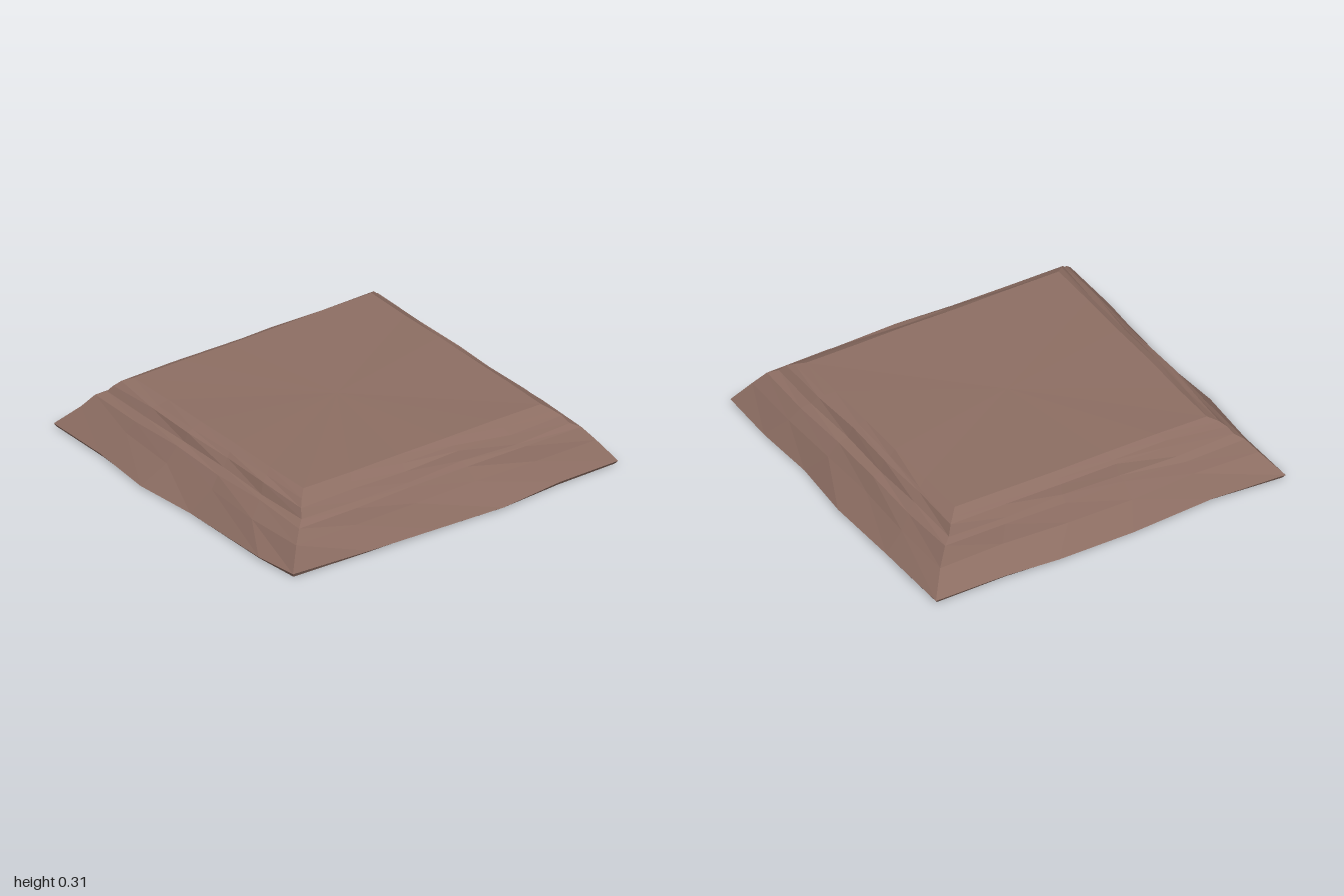
import * as THREE from 'three';

// Footprint at its widest: five points for each side, starting at the back left corner
const outline = [
  [-0.97, -0.99], [-0.52, -0.995], [-0.08, -1.0], [0.28, -0.97], [0.62, -0.99],
  [0.94, -0.985], [0.94, -0.64], [0.97, -0.28], [0.95, 0.1], [0.945, 0.5],
  [0.925, 0.945], [0.68, 0.97], [0.12, 0.965], [-0.24, 0.995], [-0.6, 0.97],
  [-0.97, 0.975], [-0.945, 0.58], [-0.97, 0.12], [-0.975, -0.3], [-0.965, -0.6],
];

// Terraces going up: left, right, back, front, height, roughness
const terraces = [
  [-0.87, 0.87, -0.905, 0.885, 0.13, 0.012],
  [-0.825, 0.825, -0.85, 0.835, 0.2, 0.012],
  [-0.785, 0.79, -0.805, 0.795, 0.218, 0.012],
  [-0.76, 0.76, -0.78, 0.775, 0.262, 0.01],
  [-0.735, 0.725, -0.755, 0.745, 0.28, 0.008],
  [-0.695, 0.677, -0.718, 0.7, 0.304, 0.003],
];

function makeRandom(seed) {
  return () => {
    seed = (seed * 16807) % 2147483647;
    return seed / 2147483647;
  };
}

// One rough rectangular ring, corners kept crisp
function terraceRing([x0, x1, z0, z1, y, rough], random) {
  const corners = [[x0, z0], [x1, z0], [x1, z1], [x0, z1]];
  const outward = [[0, -1], [1, 0], [0, 1], [-1, 0]];
  const ring = [];
  for (let side = 0; side < 4; side++) {
    const a = corners[side], b = corners[(side + 1) % 4], n = outward[side];
    for (let k = 0; k < 5; k++) {
      const push = k === 0 ? 0 : (random() - 0.5) * 2 * rough;
      const lift = (random() - 0.5) * rough * 1.4;
      const t = k / 5;
      ring.push([
        a[0] + (b[0] - a[0]) * t + n[0] * push,
        y + lift,
        a[1] + (b[1] - a[1]) * t + n[1] * push,
      ]);
    }
  }
  return ring;
}

// Joins the rings with walls and closes both ends with fans
function loftRings(rings) {
  const count = rings[0].length;
  const position = rings.flat(2);
  const index = [];
  for (let r = 0; r < rings.length - 1; r++) {
    for (let i = 0; i < count; i++) {
      const j = (i + 1) % count;
      const a = r * count + i, b = r * count + j;
      const c = a + count, d = b + count;
      index.push(a, c, d, a, d, b);
    }
  }
  const bottom = rings.length * count, top = bottom + 1;
  position.push(0, 0.004, 0, 0, 0.3, 0);
  const last = (rings.length - 1) * count;
  for (let i = 0; i < count; i++) {
    const j = (i + 1) % count;
    index.push(bottom, i, j, top, last + j, last + i);
  }
  const geometry = new THREE.BufferGeometry();
  geometry.setAttribute('position', new THREE.Float32BufferAttribute(position, 3));
  geometry.setIndex(index);
  const flat = geometry.toNonIndexed();
  flat.computeVertexNormals();
  return flat;
}

export function createModel() {
  const group = new THREE.Group();
  group.name = 'rockPlateau';
  const earth = new THREE.MeshStandardMaterial({ color: 0x8d6e63 });
  earth.name = 'earthBrown';

  // Slightly undercut foot, wavy widest edge, then the stepped slopes
  const random = makeRandom(4217);
  const foot = outline.map(([x, z], i) => [x * 0.988, 0.003 + 0.003 * Math.sin(i * 1.7), z * 0.988]);
  foot[10][1] = 0;
  const rim = outline.map(([x, z], i) => [x, 0.014 + 0.008 * Math.sin(i * 1.3 + 1), z]);
  const rings = [foot, rim, ...terraces.map((t) => terraceRing(t, random))];

  const plateau = new THREE.Mesh(loftRings(rings), earth);
  plateau.name = 'steppedPlateau';
  group.add(plateau);
  return group;
}
